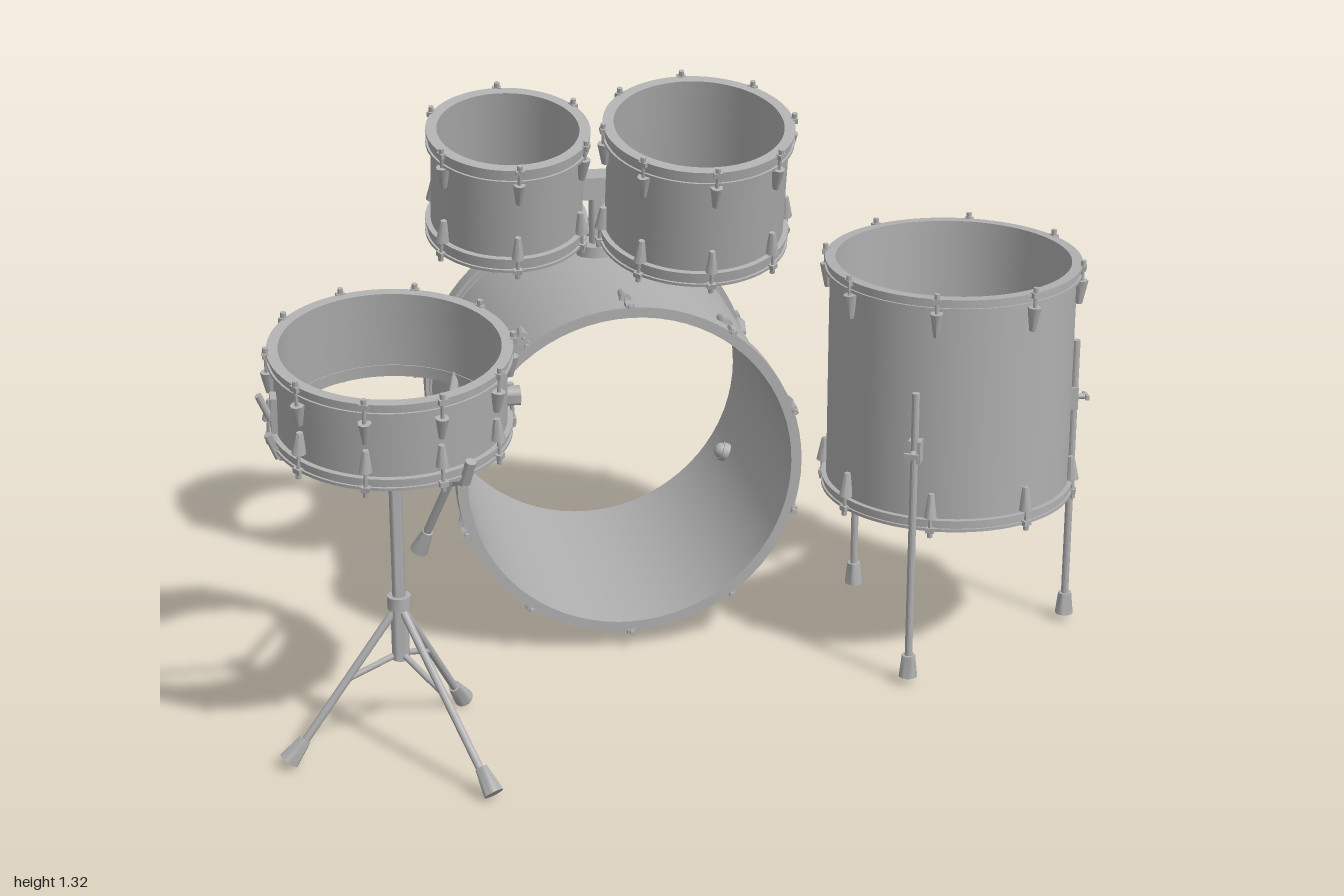
import * as THREE from 'three';
import { toCreasedNormals } from 'three/addons/utils/BufferGeometryUtils.js';

const V = (x, y, z) => new THREE.Vector3(x, y, z);

export function createModel() {
  const grey = new THREE.MeshStandardMaterial({ color: 0xb0b0b0 });
  grey.name = 'grey';
  const kit = new THREE.Group();
  kit.name = 'drumKit';

  const add = (parent, name, geo, pos) => {
    const m = new THREE.Mesh(geo, grey);
    m.name = name;
    if (pos) m.position.copy(pos);
    parent.add(m);
    return m;
  };
  const group = (parent, name) => {
    const g = new THREE.Group();
    g.name = name;
    parent.add(g);
    return g;
  };
  // Straight rod from a to b, optionally tapered
  const rod = (parent, name, a, b, r0, r1 = r0, sides = 14) => {
    const d = b.clone().sub(a);
    const geo = toCreasedNormals(new THREE.CylinderGeometry(r1, r0, d.length(), sides), 0.9);
    const m = add(parent, name, geo, a.clone().add(b).multiplyScalar(0.5));
    m.quaternion.setFromUnitVectors(V(0, 1, 0), d.normalize());
    return m;
  };
  const box = (parent, name, w, h, d, pos) => add(parent, name, new THREE.BoxGeometry(w, h, d), pos);
  const ball = (parent, name, r, pos) => add(parent, name, new THREE.SphereGeometry(r, 16, 12), pos);
  // Closed ring turned around the y axis; profile runs up the outside, down the inside
  const ring = (parent, name, profile) => {
    const pts = [...profile, profile[0]].map(([r, y]) => new THREE.Vector2(r, y));
    return add(parent, name, toCreasedNormals(new THREE.LatheGeometry(pts, 72), 0.5));
  };

  // Open drum about the y axis: shell, two hoops, lugs with tension rods
  function drum(name, o) {
    const { R, h, hoop, lip, lugs, offset = 0, lugY, lugLen, bass } = o;
    const g = group(kit, name), H = h / 2, t = 0.011;
    const s = H - hoop * 0.4;
    ring(g, 'shell', [[R, -s], [R, s], [R - t, s], [R - t, -s]]);
    for (const side of [1, -1]) {
      const end = group(g, side > 0 ? 'topEnd' : 'bottomEnd');
      if (side < 0) end.rotation.x = Math.PI;
      const y0 = H - hoop, f = 0.007, mid = R + lip * 0.6;
      ring(end, 'hoop', bass
        ? [[R + 0.005, y0 - 0.013], [R + 0.005, y0], [R + lip, y0], [R + lip, H], [R - t, H], [R - t, y0 - 0.013]]
        : [[R + lip, y0], [R + lip, y0 + f], [mid, y0 + f], [mid, H - f], [R + lip, H - f],
          [R + lip, H], [R - t - 0.002, H], [R - t - 0.002, y0]]);
      for (let i = 0; i < lugs; i++) {
        const arm = group(end, 'lugSet');
        // Flipped end mirrors z, so its angles are mirrored to line up
        const a = offset + (i * 2 * Math.PI) / lugs;
        arm.rotation.y = side > 0 ? a : Math.PI - a;
        const rr = R + lip + 0.002;
        const lug = rod(arm, 'lug', V(0, lugY - lugLen / 2, R + 0.007), V(0, lugY + lugLen / 2, R + 0.01), 0.007, 0.015, 8);
        lug.scale.z = 1.15;
        rod(arm, 'tensionRod', V(0, lugY, R + 0.011), V(0, H + 0.006, rr), 0.0045, 0.0045, 8);
        box(arm, 'rodClaw', 0.02, bass ? 0.03 : 0.012, 0.014, V(0, H - (bass ? 0.012 : 0.004), rr));
        rod(arm, 'rodHead', V(0, H, rr), V(0, H + 0.014, rr), 0.0065, 0.0065, 8);
      }
    }
    return g;
  }

  // Bass drum lying along z
  const bx = -0.104, by = 0.453;
  const bass = drum('bassDrum', { R: 0.4, h: 0.685, hoop: 0.052, lip: 0.014, lugs: 10, lugY: 0.245, lugLen: 0.075, bass: true });
  bass.rotation.x = Math.PI / 2;
  bass.position.set(bx, by, -0.36);

  // Spurs on both sides of the bass drum
  for (const s of [1, -1]) {
    const g = group(kit, s > 0 ? 'leftSpur' : 'rightSpur');
    const p = (x, y, z) => V(bx + s * x, y, z);
    rod(g, 'spurMount', p(0.325, 0.272, -0.546), p(0.375, 0.25, -0.546), 0.024);
    ball(g, 'spurInnerNut', 0.02, p(0.328, 0.272, -0.546));
    rod(g, 'spurLeg', p(0.362, 0.262, -0.546), p(0.43, 0.06, -0.628), 0.011);
    rod(g, 'spurFoot', p(0.424, 0.075, -0.62), p(0.445, 0.016, -0.643), 0.014, 0.024);
  }
  for (const m of kit.children.filter((c) => c.name.endsWith('Spur')))
    m.children.filter((c) => c.name === 'spurFoot').forEach((c) => (c.rotation.order = 'XYZ'));

  // Rack toms tilted toward the player
  const tilt = THREE.MathUtils.degToRad(13.8);
  const rackTom = (name, x, topY, topZ, o) => {
    const g = drum(name, { hoop: 0.036, lip: 0.013, lugLen: 0.055, ...o });
    g.rotation.x = tilt;
    g.position.set(x, topY - (o.h / 2) * Math.cos(tilt), topZ - (o.h / 2) * Math.sin(tilt));
    box(g, 'mountPlate', 0.05, 0.07, 0.02, V(0, 0, -o.R - 0.008));
    rod(g, 'mountCollar', V(0, -0.024, -o.R - 0.03), V(0, 0.024, -o.R - 0.03), 0.02);
    return g;
  };
  const smallTom = rackTom('smallTom', -0.354, 1.254, -0.222, { R: 0.179, h: 0.275, lugs: 6, lugY: 0.073 });
  const largeTom = rackTom('largeTom', 0.097, 1.244, -0.213, { R: 0.214, h: 0.31, lugs: 8, lugY: 0.088 });

  // Tom holder on top of the bass drum
  const holder = group(kit, 'tomHolder');
  rod(holder, 'holderBase', V(bx, 0.835, -0.477), V(bx, 0.878, -0.477), 0.054, 0.05, 28);
  rod(holder, 'holderPost', V(bx, 0.87, -0.477), V(bx, 1.04, -0.477), 0.021);
  box(holder, 'holderBlock', 0.17, 0.055, 0.075, V(bx, 1.025, -0.477));
  rod(holder, 'holderScrew', V(bx, 1.025, -0.5), V(bx, 1.025, -0.54), 0.012);
  box(holder, 'holderWingNut', 0.045, 0.016, 0.012, V(bx, 1.03, -0.54));
  for (const [x, tom, R] of [[-0.206, smallTom, 0.179], [-0.004, largeTom, 0.214]]) {
    tom.updateMatrixWorld(true);
    const end = V(0, 0, -R - 0.03).applyMatrix4(tom.matrixWorld);
    const top = V(x, 1.105, -0.484);
    rod(holder, 'armPost', V(x, 1.0, -0.484), top, 0.017);
    rod(holder, 'armJoint', V(x, 1.085, -0.484), V(x, 1.135, -0.484), 0.026);
    rod(holder, 'tomArm', top, end, 0.011);
    rod(holder, 'armScrew', V(x, 1.11, -0.49), V(x, 1.11, -0.528), 0.008);
    box(holder, 'armWingNut', 0.012, 0.04, 0.01, V(x, 1.11, -0.528));
    ball(holder, 'armEnd', 0.018, end);
  }

  // Floor tom with three legs
  const floor = drum('floorTom', { R: 0.289, h: 0.57, hoop: 0.028, lip: 0.012, lugs: 8, offset: Math.PI / 8, lugY: 0.222, lugLen: 0.058 });
  floor.position.set(0.657, 0.672, 0.028);
  for (let i = 0; i < 3; i++) {
    const leg = group(kit, 'floorTomLeg');
    leg.position.set(0.657, 0, 0.028);
    leg.rotation.y = (i * 2 * Math.PI) / 3;
    rod(leg, 'legRod', V(0.311, 0.05, 0), V(0.311, 0.73, 0), 0.009);
    rod(leg, 'legFoot', V(0.311, 0.016, 0), V(0.311, 0.07, 0), 0.022, 0.016);
    box(leg, 'legBracket', 0.03, 0.055, 0.03, V(0.302, 0.585, 0));
    rod(leg, 'legScrew', V(0.31, 0.585, 0), V(0.343, 0.585, 0), 0.007);
    box(leg, 'legWingNut', 0.008, 0.012, 0.034, V(0.34, 0.585, 0));
  }

  // Snare drum with strainer and knob
  const st = THREE.MathUtils.degToRad(8);
  const snare = drum('snareDrum', { R: 0.254, h: 0.208, hoop: 0.028, lip: 0.012, lugs: 10, offset: Math.PI / 10, lugY: 0.034, lugLen: 0.05 });
  snare.rotation.x = st;
  snare.position.set(-0.704, 0.968 - 0.104 * Math.cos(st), 0.4 - 0.104 * Math.sin(st));
  box(snare, 'strainerPlate', 0.014, 0.085, 0.035, V(-0.258, -0.015, 0.05));
  rod(snare, 'strainerLever', V(-0.265, -0.03, 0.05), V(-0.29, 0.03, 0.05), 0.008);
  rod(snare, 'snareKnob', V(0.245, -0.035, 0.01), V(0.282, -0.035, 0.01), 0.022);

  // Snare stand: pole, tripod and basket
  const stand = group(kit, 'snareStand');
  const cx = -0.703, cz = 0.4;
  const c = (y) => V(cx, y, cz);
  rod(stand, 'pole', c(0.3), c(0.7), 0.015);
  rod(stand, 'sleeve', c(0.22), c(0.375), 0.02);
  rod(stand, 'sleeveCollar', c(0.345), c(0.375), 0.027);
  rod(stand, 'basketHub', c(0.67), c(0.72), 0.028);
  box(stand, 'hubWingNut', 0.012, 0.022, 0.075, V(cx, 0.695, cz));
  for (const [fx, fz] of [[-0.537, 0.69], [-0.967, 0.452], [-0.543, 0.213]]) {
    const top = c(0.355), foot = V(fx, 0.005, fz);
    rod(stand, 'tripodLeg', top, top.clone().lerp(foot, 0.95), 0.009);
    rod(stand, 'tripodBrace', c(0.235), top.clone().lerp(foot, 0.47), 0.007);
    const dir = foot.clone().sub(top).normalize();
    rod(stand, 'tripodFoot', foot.clone().addScaledVector(dir, -0.065).setY(0.06), foot.clone().setY(0.014), 0.014, 0.023);
  }
  for (const [ax, az] of [[-0.548, 0.2], [-0.952, 0.43], [-0.572, 0.595]]) {
    const y = 0.762 - (az - 0.371) * Math.tan(st);
    const tip = V(ax, y - 0.014, az);
    rod(stand, 'basketArm', c(0.695), tip, 0.009);
    rod(stand, 'basketGrip', tip, tip.clone().add(V((ax - cx) * 0.09, 0.055, (az - cz) * 0.09)), 0.012);
  }
  return kit;
}
